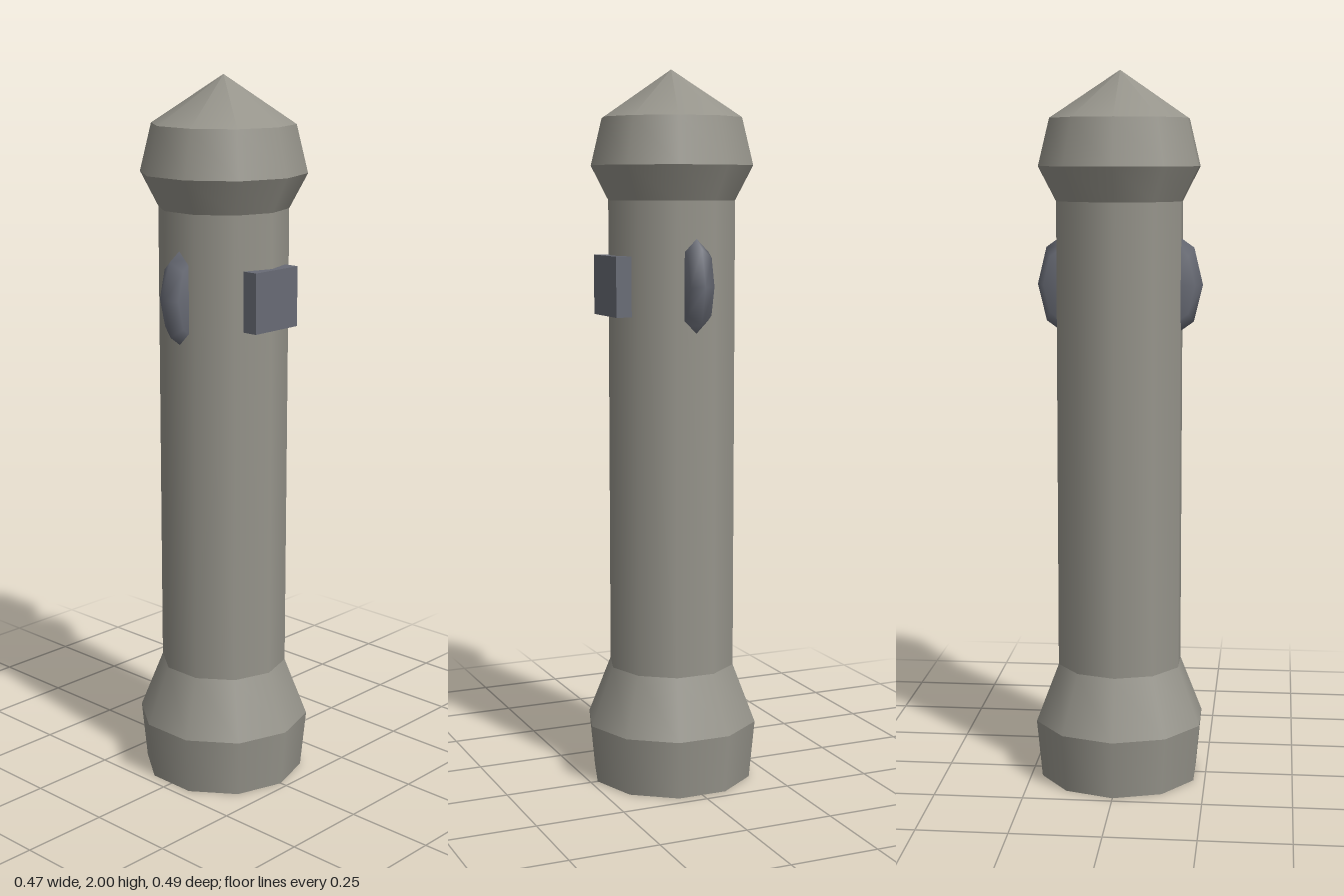
import * as THREE from 'three';
import { mergeGeometries } from 'three/addons/utils/BufferGeometryUtils.js';

const SIDES = 10;

// Each band is its own lathe: smooth around, sharp between bands.
function bands(points) {
  const parts = [];
  for (let i = 0; i < points.length - 1; i++) {
    const pair = [points[i], points[i + 1]].map(([r, y]) => new THREE.Vector2(r, y));
    parts.push(new THREE.LatheGeometry(pair, SIDES));
  }
  return mergeGeometries(parts);
}

export function createModel() {
  const group = new THREE.Group();
  const stone = new THREE.MeshStandardMaterial({ name: 'stone', color: 0x96948b });
  const iron = new THREE.MeshStandardMaterial({ name: 'iron', color: 0x686b75 });

  function add(name, geometry, material, x = 0, y = 0, z = 0) {
    const mesh = new THREE.Mesh(geometry, material);
    mesh.name = name;
    mesh.position.set(x, y, z);
    group.add(mesh);
    return mesh;
  }

  // Post: closed foot, flared base, straight shaft, head and pointed cap
  add('base', bands([[0, 0], [0.229, 0], [0.245, 0.165], [0.18, 0.33]]), stone);
  add('shaft', bands([[0.18, 0.33], [0.18, 1.645]]), stone);
  add('head', bands([[0.18, 1.645], [0.23, 1.74], [0.198, 1.87]]), stone);
  add('cap', bands([[0.198, 1.87], [0, 2]]), stone);

  // Square plate let into the front
  add('frontPlate', new THREE.BoxGeometry(0.166, 0.165, 0.08), iron, 0, 1.4125, 0.158);

  // Thin bevelled side lugs, half sunk in the shaft
  const profile = [[0, -0.035], [0.11, -0.035], [0.145, 0], [0.11, 0.035], [0, 0.035]];
  const lug = new THREE.LatheGeometry(profile.map(([r, y]) => new THREE.Vector2(r, y)), 8);
  lug.rotateX(Math.PI / 2);
  lug.scale(0.58, 1, 1);
  for (const side of [1, -1]) {
    add(side > 0 ? 'leftLug' : 'rightLug', lug, iron, side * 0.147, 1.415, 0);
  }
  return group;
}
